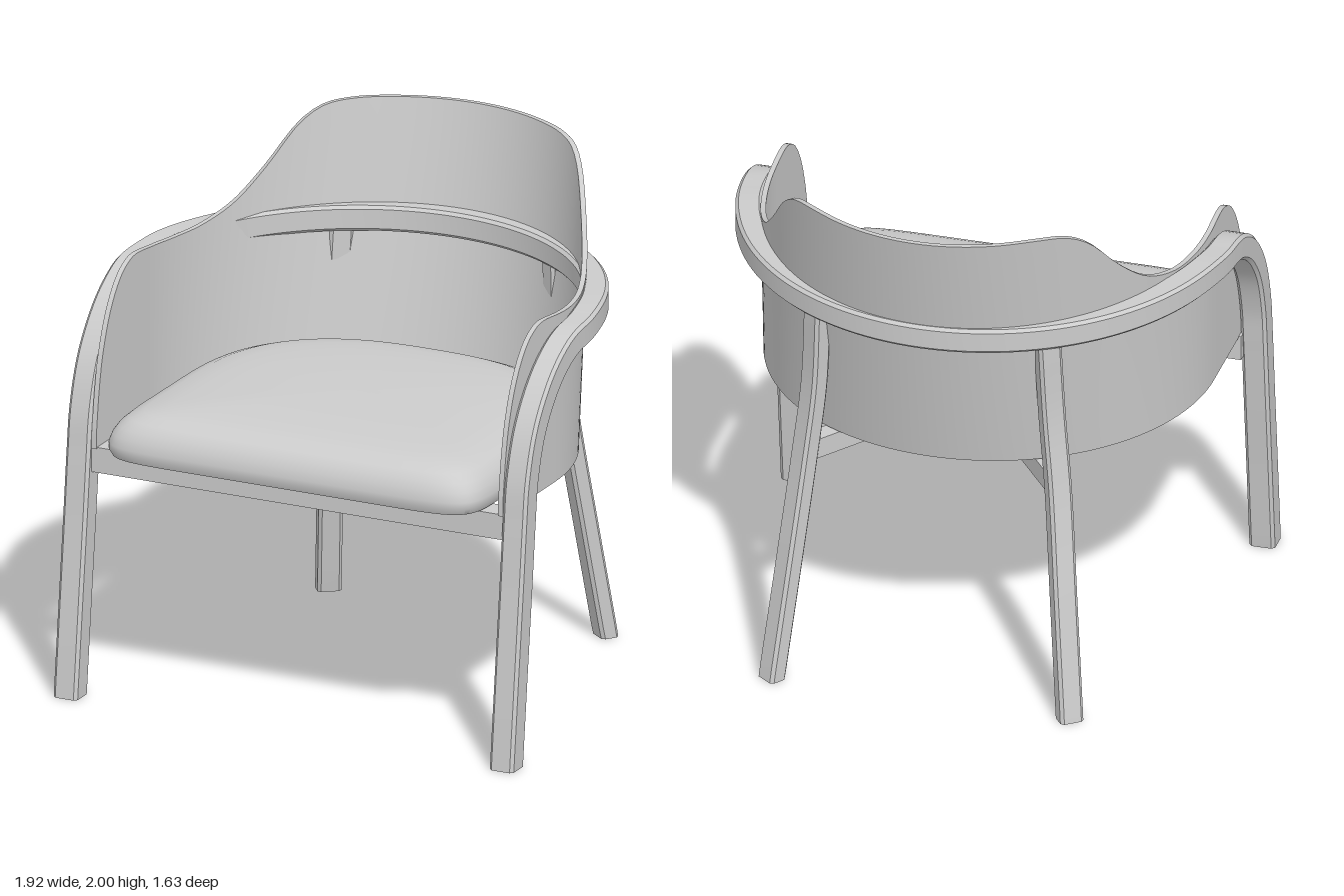
import * as THREE from 'three';
import { toCreasedNormals } from 'three/addons/utils/BufferGeometryUtils.js';

const V = (x, y, z) => new THREE.Vector3(x, y, z);
const CZ = 0.25; // centre of the elliptical plan; straight sides run forward from here

// Skin a list of rings (counter-clockwise about the travel direction) and cap both ends
function loft(rings, crease) {
  const n = rings[0].length, pos = [], idx = [];
  rings.forEach(r => r.forEach(p => pos.push(p.x, p.y, p.z)));
  for (let i = 0; i < rings.length - 1; i++) {
    for (let k = 0; k < n; k++) {
      const a = i * n + k, b = i * n + (k + 1) % n, c = b + n, d = a + n;
      idx.push(a, b, c, a, c, d);
    }
  }
  const e = (rings.length - 1) * n;
  for (let k = 1; k < n - 1; k++) idx.push(0, k + 1, k, e, e + k, e + k + 1);
  const g = new THREE.BufferGeometry();
  g.setAttribute('position', new THREE.Float32BufferAttribute(pos, 3));
  g.setIndex(idx);
  return toCreasedNormals(g, crease);
}

// Sweep a chamfered rectangle along a curve; lateral(p) gives its width direction
function sweep(curve, steps, w, d, lateral) {
  const c = 0.012, x = w / 2, y = d / 2;
  const section = [[x, -y + c], [x, y - c], [x - c, y], [-x + c, y],
    [-x, y - c], [-x, -y + c], [-x + c, -y], [x - c, -y]];
  const rings = [];
  for (let i = 0; i <= steps; i++) {
    const p = curve.getPointAt(i / steps), T = curve.getTangentAt(i / steps), N = lateral(p);
    const B = T.clone().cross(N).normalize();
    rings.push(section.map(([u, v]) => {
      const q = p.clone().addScaledVector(N, u).addScaledVector(B, v);
      if (p.y < 0.001) q.y = 0; // feet cut level with the floor
      return q;
    }));
  }
  return loft(rings, 0.6);
}

// Smooth height lookup through [z, y] points
function heightAt(table, z) {
  if (z >= table[0][0]) return table[0][1];
  for (let i = 1; i < table.length; i++) {
    const [z0, y0] = table[i - 1], [z1, y1] = table[i];
    if (z >= z1) {
      const slope = j => {
        const a = table[Math.max(j - 1, 0)], b = table[Math.min(j + 1, table.length - 1)];
        return (b[1] - a[1]) / (b[0] - a[0]);
      };
      const h = z1 - z0, t = (z - z0) / h, s = 1 - t;
      return y0 * (1 + 2 * t) * s * s + slope(i - 1) * h * t * s * s
        + y1 * t * t * (3 - 2 * t) - slope(i) * h * t * t * s;
    }
  }
  return table[table.length - 1][1];
}

// Front legs, arms and back rail as one bent bar
function frameGeometry() {
  const half = [[0, 0.765], [0.35, 0.725], [0.7, 0.684], [0.95, 0.656], [1.1, 0.635],
    [1.28, 0.57], [1.43, 0.45], [1.51, 0.33]].map(([y, z]) => V(0.912, y, z));
  const pts = [...half];
  for (let i = 0; i <= 28; i++) {
    const a = Math.PI * i / 28, s = Math.sin(a);
    pts.push(V(0.912 * Math.cos(a), 1.537 + 0.019 * Math.min(1, s * 4), CZ - 0.95 * s));
  }
  half.reverse().forEach(p => pts.push(V(-p.x, p.y, p.z)));
  const curve = new THREE.CatmullRomCurve3(pts, false, 'centripetal');
  curve.arcLengthDivisions = 1000;
  return sweep(curve, 180, 0.1, 0.1, p => {
    const N = p.z >= CZ ? V(Math.sign(p.x), 0, 0)
      : V(p.x / 0.912 ** 2, 0, (p.z - CZ) / 0.95 ** 2).normalize();
    return N;
  });
}

// Thin wraparound back, leaning outward as it rises
function shellGeometry() {
  const top = [[0.69, 1.02], [0.67, 1.17], [0.64, 1.31], [0.58, 1.46], [0.5, 1.57], [0.42, 1.622],
    [0.35, 1.635], [0.2, 1.62], [0.05, 1.61], [-0.1, 1.618], [-0.25, 1.67], [-0.38, 1.78],
    [-0.5, 1.92], [-0.58, 1.98], [-0.66, 1.998], [-0.75, 2]];
  const rz = y => 0.84 + (y - 0.97) * 0.213;
  const stations = [], F = 24, rows = 14, base = 0.965;
  for (let i = 0; i < F; i++) stations.push({ a: 0, f: (0.69 - CZ) * (1 - (i / F) ** 1.5) });
  for (let i = 0; i <= 80; i++) stations.push({ a: Math.PI * i / 80, f: 0 });
  for (let i = F - 1; i >= 0; i--) stations.push({ a: Math.PI, f: stations[i].f });
  const rings = stations.map(({ a, f }) => {
    const at = (y, o) => V((0.85 + o) * Math.cos(a), y, CZ + f - (rz(y) + o) * Math.sin(a));
    let yTop = 1.6;
    for (let k = 0; k < 12; k++) yTop = heightAt(top, at(yTop, 0).z);
    const ring = [];
    for (let r = rows; r >= 0; r--) ring.push(at(base + (yTop - base) * r / rows, 0.01));
    for (let r = 0; r <= rows; r++) ring.push(at(base + (yTop - base) * r / rows, -0.01));
    return ring;
  });
  return loft(rings, 0.8);
}

// Domed cushion: one D-shaped outline scaled up through its height
function cushionGeometry() {
  const outline = [], M = 120;
  const pow = (v, e) => Math.sign(v) * Math.abs(v) ** e;
  for (let i = 0; i < M; i++) {
    const a = 2 * Math.PI * i / M, c = Math.cos(a), s = -Math.sin(a);
    const front = s > 0, e = 2 / (front ? 10 : 2.6);
    const z = 0.2 + (front ? 0.615 : 0.74) * pow(s, e);
    outline.push([(0.777 + 0.015 * Math.max(0, z)) * pow(c, e), z]);
  }
  const levels = [[0.95, 0.97], [0.985, 0.975], [1, 1.0], [1, 1.025], [0.985, 1.06], [0.96, 1.09],
    [0.92, 1.118], [0.86, 1.136], [0.75, 1.149], [0.6, 1.158], [0.4, 1.165], [0.2, 1.169], [0.03, 1.17]];
  return loft(levels.map(([k, y]) => outline.map(([x, z]) => V(x * k, y, 0.15 + (z - 0.15) * k))), 0.9);
}

export function createModel() {
  const group = new THREE.Group();
  const grey = new THREE.MeshStandardMaterial({ color: 0xcccccc });
  grey.name = 'light grey';
  const add = (name, geometry) => {
    const mesh = new THREE.Mesh(geometry, grey);
    mesh.name = name;
    group.add(mesh);
    return mesh;
  };

  add('bentFrame', frameGeometry());
  add('backShell', shellGeometry());
  add('seatCushion', cushionGeometry());

  // Rail joining the front legs
  add('frontRail', new THREE.BoxGeometry(1.74, 0.1, 0.1)).position.set(0, 0.92, 0.635);

  for (const side of [1, -1]) {
    const label = side > 0 ? 'left' : 'right';
    // Splayed back leg, turned to face the diagonal
    const path = new THREE.CatmullRomCurve3([[0.58, 0, -0.735], [0.536, 0.45, -0.66], [0.493, 0.9, -0.587],
      [0.463, 1.2, -0.565], [0.448, 1.52, -0.575]].map(([x, y, z]) => V(side * x, y, z)));
    const across = V(side * 0.8, 0, 0.6);
    add(label + 'BackLeg', sweep(path, 30, 0.092, 0.072, () => across));

    // Diagonal bar under the seat, from back leg to the opposite end of the front rail
    const from = V(side * 0.48, 0.92, -0.575), to = V(-side * 0.43, 0.92, 0.62);
    const bar = add(label + 'CrossBar', new THREE.BoxGeometry(0.07, 0.08, from.distanceTo(to)));
    bar.position.copy(from).lerp(to, 0.5);
    bar.rotation.y = Math.atan2(to.x - from.x, to.z - from.z);
  }
  return group;
}
